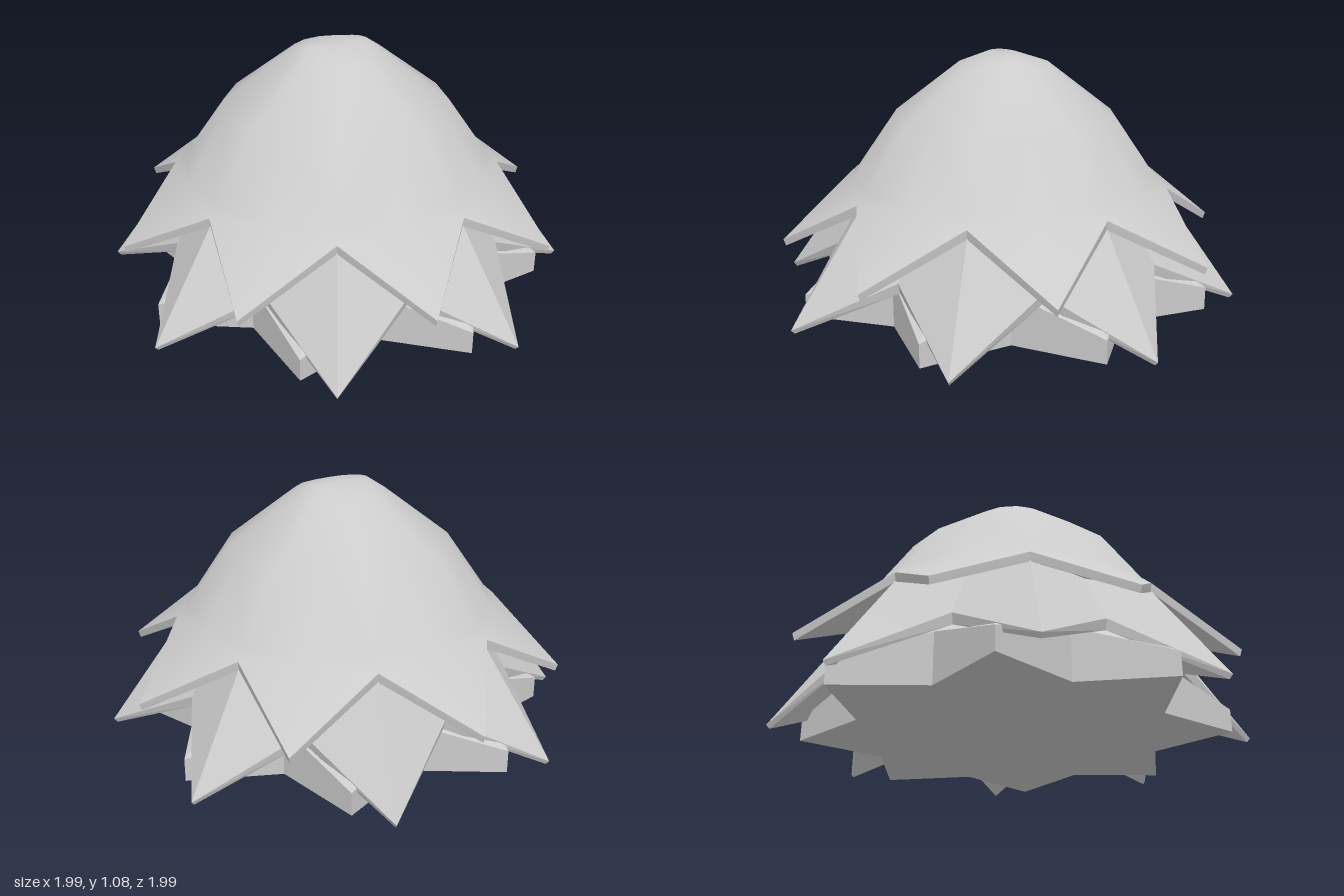
import * as THREE from 'three';
import { toCreasedNormals } from 'three/addons/utils/BufferGeometryUtils.js';

const POINTS = 8;
const SIDES = POINTS * 2;

// Rings run from the top, over the rim and back underneath.
// Each ring: [tip radius, tip y, notch radius, notch y, optional z scale]
function starTier(name, rings, twistDegrees, crease) {
  const position = [];
  const index = [];
  const twist = THREE.MathUtils.degToRad(twistDegrees);
  for (const [tipR, tipY, notchR, notchY, zScale = 1] of rings) {
    for (let j = 0; j < SIDES; j++) {
      const angle = twist + (j / SIDES) * Math.PI * 2;
      const r = j % 2 ? notchR : tipR;
      position.push(Math.sin(angle) * r, j % 2 ? notchY : tipY, Math.cos(angle) * r * zScale);
    }
  }
  for (let i = 0; i < rings.length - 1; i++) {
    const upperIsPole = rings[i][0] === 0;
    const lowerIsPole = rings[i + 1][0] === 0;
    for (let j = 0; j < SIDES; j++) {
      const a = i * SIDES + j;
      const b = i * SIDES + ((j + 1) % SIDES);
      const c = a + SIDES;
      const d = b + SIDES;
      if (upperIsPole) index.push(a, c, d);
      else if (lowerIsPole) index.push(a, c, b);
      // diagonals mirror about every petal ridge
      else if (j % 2 === 0) index.push(a, c, d, a, d, b);
      else index.push(a, c, b, b, c, d);
    }
  }
  const geometry = new THREE.BufferGeometry();
  geometry.setAttribute('position', new THREE.Float32BufferAttribute(position, 3));
  geometry.setIndex(index);
  const mesh = new THREE.Mesh(
    toCreasedNormals(geometry, crease),
    new THREE.MeshStandardMaterial({ color: 0xcccccc })
  );
  mesh.name = name;
  return mesh;
}

export function createModel() {
  const group = new THREE.Group();
  group.name = 'tieredStarDome';

  // Domed crown flaring into an eight-pointed skirt
  group.add(starTier('domeCrown', [
    [0, 1.08, 0, 1.08],
    [0.14, 1.08, 0.14, 1.08, 0.5],
    [0.2, 1.04, 0.2, 1.04],
    [0.5, 0.81, 0.5, 0.81],
    [0.68, 0.54, 0.69, 0.54],
    [0.995, 0.28, 0.735, 0.5],
    [0.985, 0.25, 0.73, 0.46],
    [0.66, 0.5, 0.66, 0.5],
    [0, 0.5, 0, 0.5],
  ], 0, 0.6));

  // Steep ridged petals set between the points of the crown
  group.add(starTier('middlePetals', [
    [0, 0.49, 0, 0.49],
    [0.72, 0.48, 0.62, 0.48],
    [1.05, 0.02, 0.76, 0.245],
    [1.035, 0.003, 0.75, 0.2],
    [0.66, 0.4, 0.58, 0.4],
    [0, 0.4, 0, 0.4],
  ], 22.5, 0.15));

  // Solid star base with upright walls and a flat underside
  group.add(starTier('starBase', [
    [0, 0.36, 0, 0.36],
    [0.56, 0.32, 0.54, 0.32],
    [0.935, 0.1, 0.68, 0.22],
    [0.935, 0, 0.68, 0],
    [0, 0, 0, 0],
  ], 13.6, 0.15));

  return group;
}
